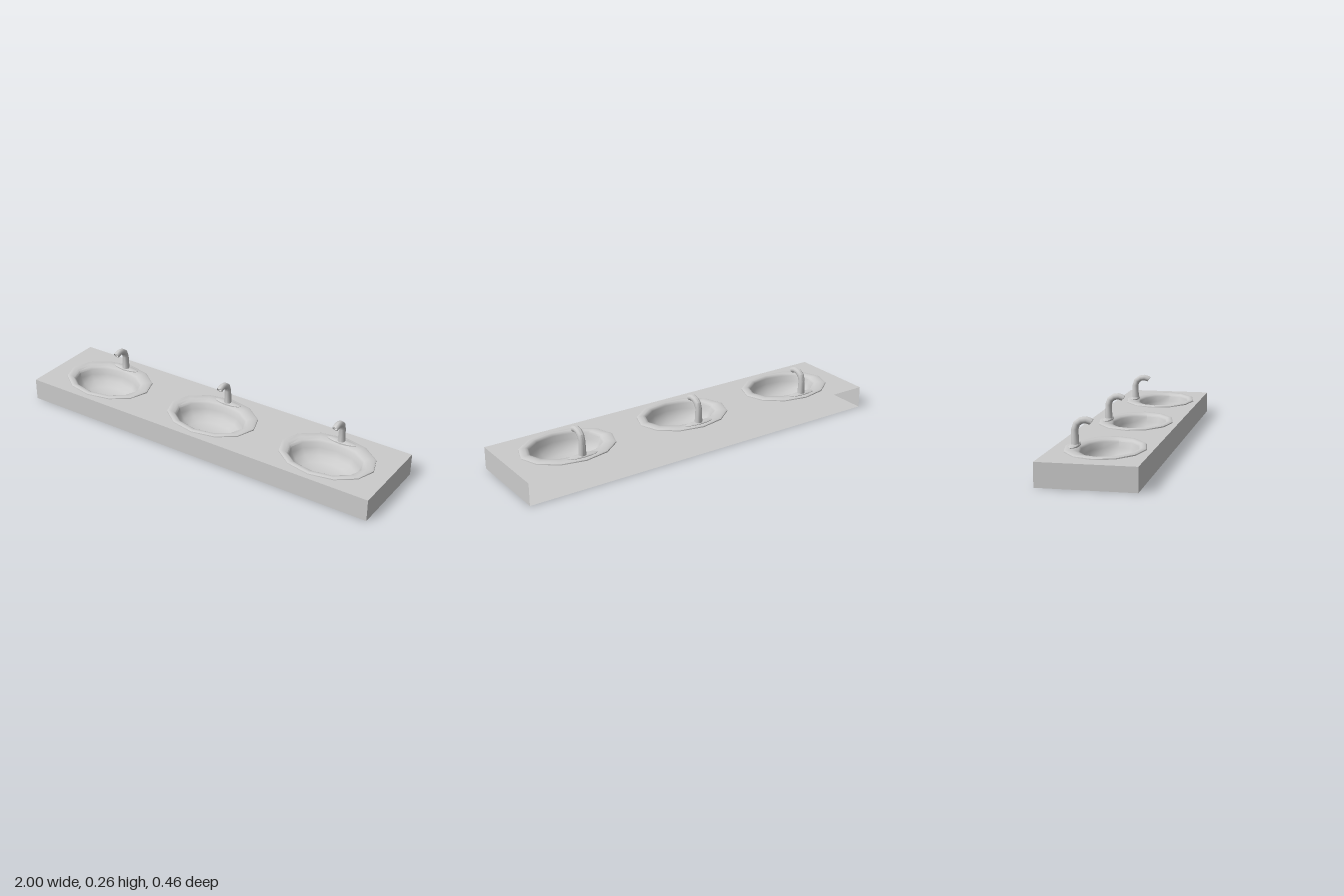
import * as THREE from 'three';
import { toCreasedNormals } from 'three/addons/utils/BufferGeometryUtils.js';

const material = new THREE.MeshStandardMaterial({ color: 0xcccccc, side: THREE.DoubleSide });
const W = 2, D = 0.46, H = 0.114;
const SINKS = [-0.667, 0, 0.667];

function mesh(name, geometry, x = 0, y = 0, z = 0) {
  const m = new THREE.Mesh(geometry, material);
  m.name = name;
  m.position.set(x, y, z);
  return m;
}

// Skin over a stack of closed rings, each with the same number of points
function loft(rings, crease) {
  const n = rings[0].length, index = [];
  for (let i = 0; i < rings.length - 1; i++) {
    for (let j = 0; j < n; j++) {
      const a = i * n + j, b = i * n + (j + 1) % n;
      index.push(a, a + n, b, b, a + n, b + n);
    }
  }
  const geo = new THREE.BufferGeometry().setFromPoints(rings.flat());
  geo.setIndex(index);
  return toCreasedNormals(geo, crease);
}

function ellipse(rx, rz, cz, y, n = 12) {
  return Array.from({ length: n }, (_, j) => {
    const a = -j / n * Math.PI * 2;
    return new THREE.Vector3(Math.cos(a) * rx, y, cz + Math.sin(a) * rz);
  });
}

// Counter: a thin-walled box, open at the back, with a cut-out per basin
function createCounter() {
  const group = new THREE.Group();
  group.name = 'counter';
  const shape = new THREE.Shape([[-1, -1], [1, -1], [1, 1], [-1, 1]]
    .map(([x, y]) => new THREE.Vector2(x * W / 2, y * D / 2)));
  for (const x of SINKS) {
    shape.holes.push(new THREE.Path(ellipse(0.23, 0.17, 0.011, 0)
      .map(p => new THREE.Vector2(p.x + x, -p.z))));
  }
  group.add(mesh('counterTop', new THREE.ShapeGeometry(shape).rotateX(-Math.PI / 2), 0, H, 0));
  group.add(mesh('counterBottom', new THREE.PlaneGeometry(W, D).rotateX(Math.PI / 2)));
  group.add(mesh('counterFront', new THREE.PlaneGeometry(W, H), 0, H / 2, D / 2));
  for (const s of [-1, 1]) {
    group.add(mesh(s > 0 ? 'counterLeftEnd' : 'counterRightEnd',
      new THREE.PlaneGeometry(D, H).rotateY(s * Math.PI / 2), s * W / 2, H / 2, 0));
  }
  return group;
}

// Basin: raised twelve-sided rim running down into a forward-set bowl
function createBasin() {
  const rings = [ // rx, rz, centre z, y
    [0.250, 0.189, 0.011, 0.113],
    [0.249, 0.188, 0.011, 0.119],
    [0.240, 0.180, 0.011, 0.123],
    [0.215, 0.156, 0.018, 0.122],
    [0.198, 0.139, 0.027, 0.117],
    [0.190, 0.133, 0.029, 0.108],
    [0.183, 0.127, 0.029, 0.080],
    [0.163, 0.112, 0.029, 0.048],
    [0.122, 0.083, 0.028, 0.026],
    [0.065, 0.044, 0.027, 0.017],
    [0, 0, 0.027, 0.015],
  ].map(r => ellipse(...r));
  return mesh('basin', loft(rings.reverse(), 0.75));
}

// Faucet: oval base plate and a bent spout with a recessed mouth
function createFaucet() {
  const group = new THREE.Group();
  group.name = 'faucet';
  const plate = [[0.08, 0.022, 0.116], [0.08, 0.022, 0.125], [0.068, 0.019, 0.128], [0, 0, 0.128]]
    .map(([rx, rz, y]) => ellipse(rx, rz, -0.134, y));
  group.add(mesh('faucetPlate', loft(plate, 0.7)));

  const path = [ // z, y, radius, lean from vertical
    [-0.1325, 0.116, 0.0200, 0],
    [-0.1325, 0.128, 0.0193, 0],
    [-0.1335, 0.197, 0.0165, 0.08],
    [-0.1240, 0.223, 0.0170, 0.62],
    [-0.1040, 0.238, 0.0168, 1.12],
    [-0.0800, 0.2415, 0.0165, 1.6],
    [-0.0620, 0.236, 0.0160, 2.0],
    [-0.0550, 0.233, 0.0155, 2.15],
    [-0.0555, 0.2335, 0.0115, 2.15],
    [-0.0640, 0.2375, 0.0100, 2.15],
    [-0.0640, 0.2375, 0, 2.15],
  ];
  const rings = path.map(([z, y, r, lean]) => ellipse(r, r, 0, 0, 10).map(p =>
    p.applyAxisAngle(new THREE.Vector3(1, 0, 0), lean).add(new THREE.Vector3(0, y, z))));
  group.add(mesh('faucetSpout', loft(rings, 0.8)));
  return group;
}

export function createModel() {
  const model = new THREE.Group();
  model.name = 'tripleSinkCounter';
  model.add(createCounter());
  for (const x of SINKS) {
    const sink = new THREE.Group();
    sink.name = 'sink';
    sink.position.x = x;
    sink.add(createBasin(), createFaucet());
    model.add(sink);
  }
  return model;
}
